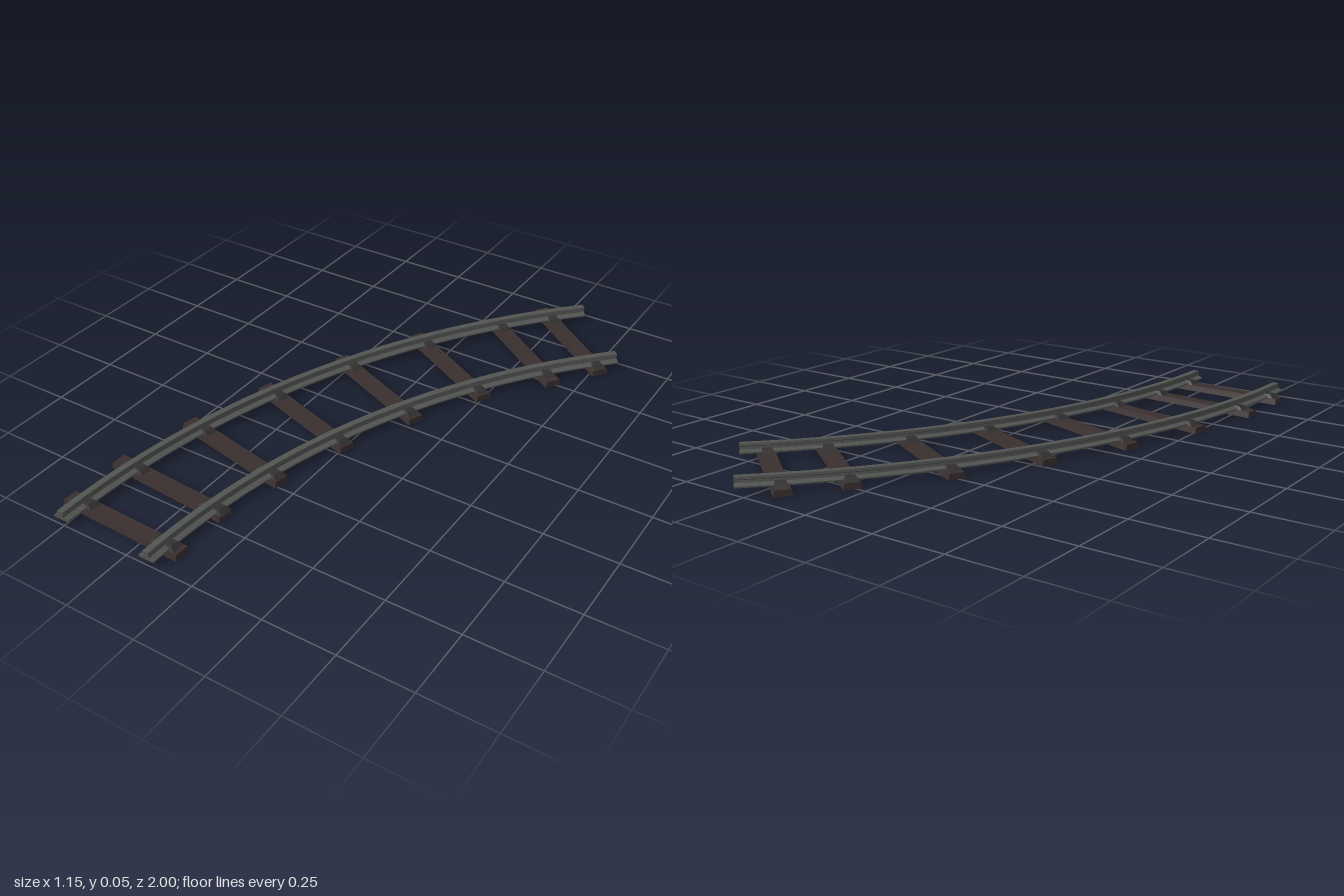
import * as THREE from 'three';
import { toCreasedNormals } from 'three/addons/utils/BufferGeometryUtils.js';

const CX = 2.29, CZ = 1;            // centre of the curve
const RADII = { outerRail: 2.8, innerRail: 2.46 };
const SWEEP = Math.PI / 4;

// half of the rail cross-section, from foot to head: [offset, height]
const HALF = [[0.029, 0.02], [0.029, 0.025], [0.012, 0.031], [0.010, 0.039], [0.013, 0.042], [0.011, 0.05]];

// sleepers: x, z, angle in degrees
const SLEEPERS = [
  [-0.339, 0.905, 2], [-0.339, 0.69, 4], [-0.287, 0.431, 11.8], [-0.204, 0.148, 17.8],
  [-0.087, -0.13, 23], [0.054, -0.392, 28.5], [0.233, -0.624, 35], [0.348, -0.786, 37],
];

// box standing on y = 0 whose top is narrowed
function taperedBox(length, height, width, topLength, topWidth) {
  const g = new THREE.BoxGeometry(length, height, width).toNonIndexed();
  g.translate(0, height / 2, 0);
  const p = g.attributes.position;
  for (let i = 0; i < p.count; i++) {
    if (p.getY(i) > height / 2) {
      p.setX(i, p.getX(i) * topLength / length);
      p.setZ(i, p.getZ(i) * topWidth / width);
    }
  }
  g.computeVertexNormals();
  return g;
}

export function createModel() {
  const model = new THREE.Group();
  const steel = new THREE.MeshStandardMaterial({ color: 0x525452, side: THREE.DoubleSide });
  steel.name = 'rail steel';
  const wood = new THREE.MeshStandardMaterial({ color: 0x3a2f2f });
  wood.name = 'dark sleeper wood';
  const iron = new THREE.MeshStandardMaterial({ color: 0x333030 });
  iron.name = 'chair iron';

  // rails: the profile swept round the curve, with end caps
  const profile = [...HALF, ...HALF.map(([x, y]) => [-x, y]).reverse()];
  for (const [name, radius] of Object.entries(RADII)) {
    const rail = new THREE.Group();
    rail.name = name;
    rail.position.set(CX, 0, CZ);
    const points = profile.map(([x, y]) => new THREE.Vector2(radius + x, y));
    const sweep = new THREE.LatheGeometry([...points, points[0].clone()], 24, -Math.PI / 2 - SWEEP, SWEEP);
    const body = new THREE.Mesh(toCreasedNormals(sweep, 0.3), steel);
    body.name = 'railBody';
    rail.add(body);
    for (const phi of [-Math.PI / 2, -Math.PI / 2 - SWEEP]) {
      const cap = new THREE.Mesh(new THREE.ShapeGeometry(new THREE.Shape(points)), steel);
      cap.name = 'railEnd';
      cap.rotation.y = phi - Math.PI / 2;
      rail.add(cap);
    }
    model.add(rail);
  }

  // sleepers, each with a chair under both rails
  const sleeperGeo = taperedBox(0.468, 0.02, 0.062, 0.462, 0.05);
  const chairGeo = taperedBox(0.1, 0.014, 0.046, 0.066, 0.03);
  for (const [x, z, degrees] of SLEEPERS) {
    const t = THREE.MathUtils.degToRad(degrees);
    const sleeper = new THREE.Group();
    sleeper.name = 'sleeper';
    sleeper.position.set(x, 0, z);
    sleeper.rotation.y = -t;
    const beam = new THREE.Mesh(sleeperGeo, wood);
    beam.name = 'sleeperBeam';
    sleeper.add(beam);

    // where the sleeper's axis crosses each rail
    const dx = x - CX, dz = z - CZ;
    const along = dx * Math.cos(t) + dz * Math.sin(t);
    for (const radius of Object.values(RADII)) {
      const chair = new THREE.Mesh(chairGeo, iron);
      chair.name = 'railChair';
      chair.position.set(-along - Math.sqrt(along * along - dx * dx - dz * dz + radius * radius), 0.019, 0);
      sleeper.add(chair);
    }
    model.add(sleeper);
  }
  return model;
}
